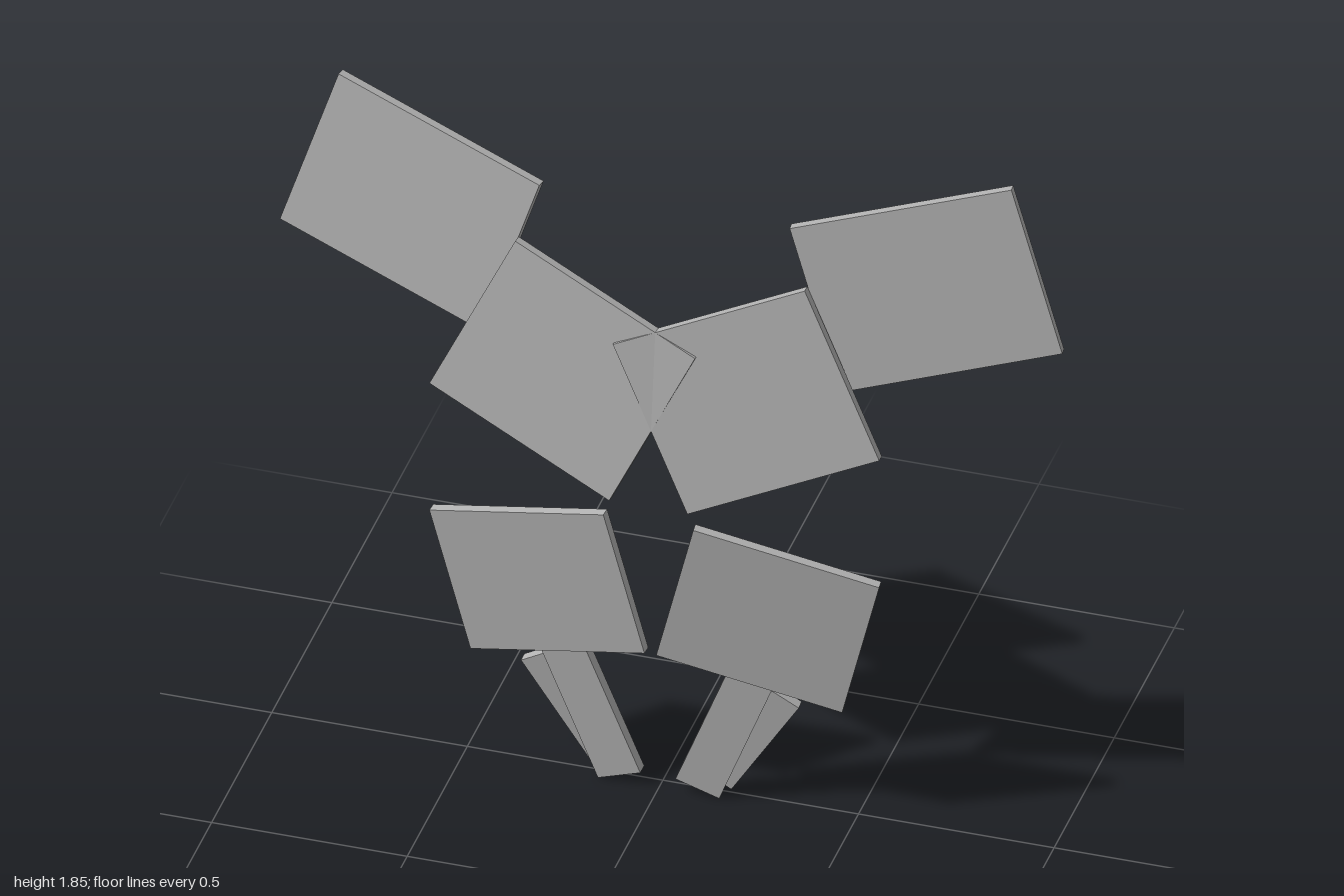
import * as THREE from 'three';

const grey = new THREE.MeshStandardMaterial({ color: 0xb2b2b2 });
grey.name = 'plain grey';

// Flat slab whose front face is spanned by a corner and its two neighbours
function slab(name, corner, nextA, nextB, thickness, side) {
  const [p, a, b] = [corner, nextA, nextB].map(c => new THREE.Vector3(c[0] * side, c[1], c[2]));
  let u = a.sub(p), v = b.sub(p);
  if (u.x * v.y - u.y * v.x < 0) [u, v] = [v, u]; // keep the front towards +z
  const n = u.clone().cross(v).normalize().multiplyScalar(thickness);
  const centre = p.clone().addScaledVector(u, 0.5).addScaledVector(v, 0.5).addScaledVector(n, -0.5);
  const geometry = new THREE.BoxGeometry(1, 1, 1);
  geometry.applyMatrix4(new THREE.Matrix4().makeBasis(u, v, n).setPosition(centre));
  const mesh = new THREE.Mesh(geometry, grey);
  mesh.name = name;
  return mesh;
}

// Left-hand parts: name, front corner, its two neighbours, thickness
const parts = [
  ['UpperOuterPanel', [0.86, 1.855, -0.1], [0.32, 1.69, -0.013], [1.0, 1.42, -0.068], 0.026],
  ['UpperInnerPanel', [0.575, 1.11, 0.072], [0.37, 1.54, 0.025], [0.1, 0.89, 0.122], 0.026],
  ['LowerPanel', [0.115, 0.845, 0.122], [0.575, 0.735, 0.072], [0.015, 0.445, 0.105], 0.025],
  ['WideTail', [0.193, 0.425, 0.058], [0.303, 0.385, 0.052], [0.045, 0.045, 0.042], 0.03],
  ['NarrowTail', [0.355, 0.305, 0.025], [0.288, 0.345, 0.03], [0.175, 0.013, 0.0], 0.026],
];

export function createModel() {
  const model = new THREE.Group();
  model.name = 'wingPanels';
  // Build both wings, mirrored across x
  for (const side of [1, -1]) {
    const prefix = side > 0 ? 'left' : 'right';
    const wing = new THREE.Group();
    wing.name = prefix + 'Wing';
    for (const [name, corner, a, b, thickness] of parts) {
      wing.add(slab(prefix + name, corner, a, b, thickness, side));
    }
    model.add(wing);
  }
  return model;
}
